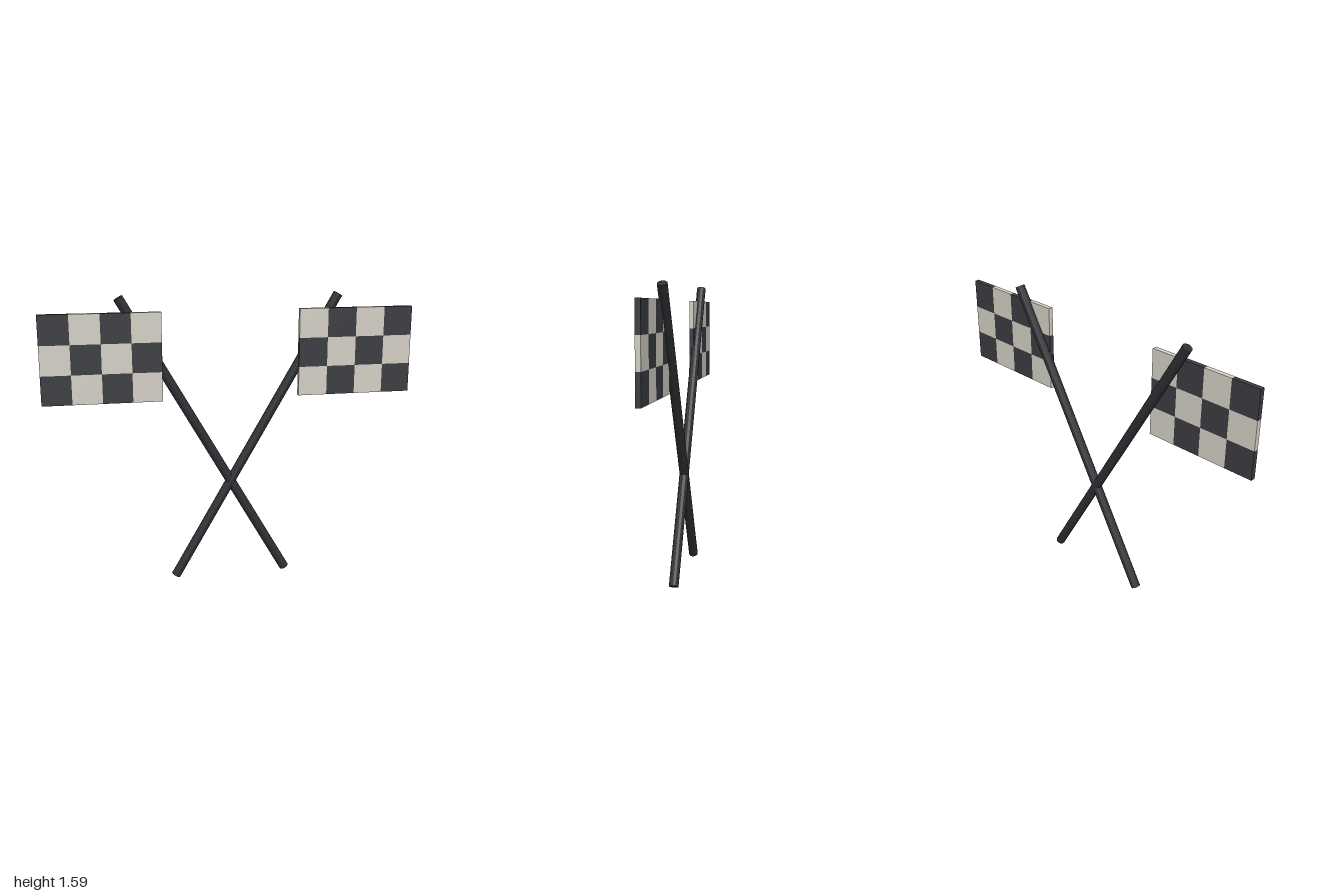
import * as THREE from 'three';

const poleMat = new THREE.MeshStandardMaterial({ color: 0x2e2f33, flatShading: true });
const darkMat = new THREE.MeshStandardMaterial({ color: 0x3c3d42 });
const lightMat = new THREE.MeshStandardMaterial({ color: 0xd4d0c6 });

const COLS = 4, ROWS = 3, CELL_W = 0.1575, CELL_H = 0.157, THICK = 0.026;

// One flag on its pole; side = 1 is the model's left, -1 its right
function createFlag(side) {
  const flag = new THREE.Group();
  flag.name = side > 0 ? 'leftFlag' : 'rightFlag';

  // Slanted pole that crosses the other one
  const pole = new THREE.Mesh(new THREE.CylinderGeometry(0.026, 0.026, 1.804, 12), poleMat);
  pole.name = 'pole';
  pole.position.set(side * 0.137, 0.794, -0.005);
  pole.rotation.z = -side * Math.PI / 6;
  flag.add(pole);

  // Chequered panel in front of the pole
  const panel = new THREE.Group();
  panel.name = 'chequeredPanel';
  const cell = new THREE.BoxGeometry(CELL_W, CELL_H, THICK);
  for (let c = 0; c < COLS; c++) {
    for (let r = 0; r < ROWS; r++) {
      const square = new THREE.Mesh(cell, (c + r) % 2 ? darkMat : lightMat);
      square.name = (c + r) % 2 ? 'darkSquare' : 'lightSquare';
      square.position.set(side * (0.37 + (c + 0.5) * CELL_W), 1.031 + (r + 0.5) * CELL_H, 0.018);
      panel.add(square);
    }
  }
  flag.add(panel);
  return flag;
}

export function createModel() {
  const model = new THREE.Group();
  model.name = 'crossedFlags';
  for (const side of [1, -1]) model.add(createFlag(side));
  return model;
}
